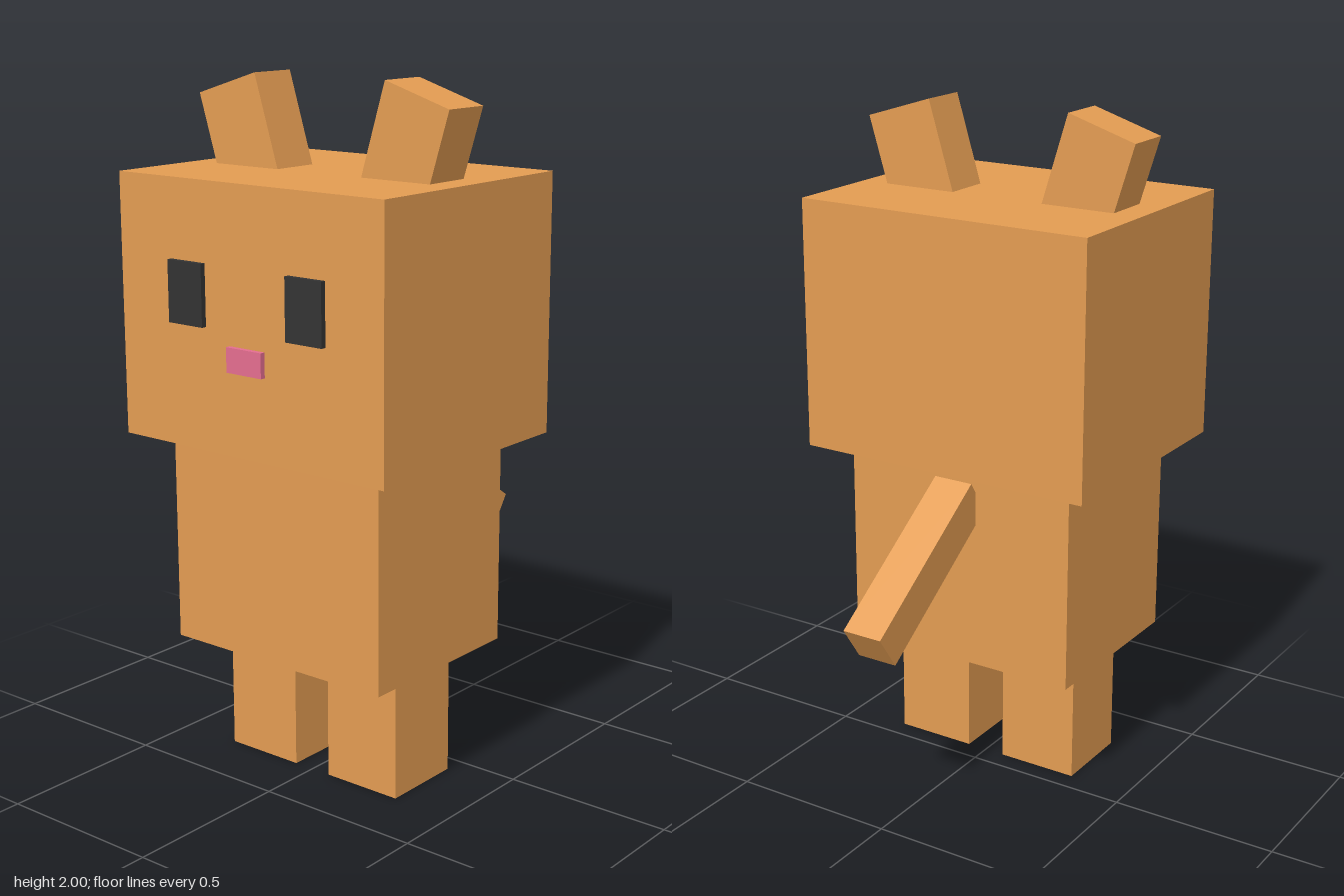
import * as THREE from 'three';

function material(name, color) {
  const m = new THREE.MeshStandardMaterial({ color });
  m.name = name;
  return m;
}

export function createModel() {
  const model = new THREE.Group();
  model.name = 'blockCat';

  const fur = material('orangeFur', 0xe39c52);
  const dark = material('darkEyes', 0x333333);
  const pink = material('pinkNose', 0xe46d90);

  function box(name, mat, size, position) {
    const mesh = new THREE.Mesh(new THREE.BoxGeometry(...size), mat);
    mesh.name = name;
    mesh.position.set(...position);
    model.add(mesh);
    return mesh;
  }

  const midZ = 0.186; // centre line of head, body and legs
  const faceZ = 0.558; // front of the head

  // Head and body
  box('head', fur, [0.93, 0.744, 0.744], [0, 1.368, midZ]);
  box('body', fur, [0.744, 0.62, 0.558], [0, 0.686, midZ]);

  // Legs, ears and eyes, mirrored left and right
  for (const [side, s] of [['left', 1], ['right', -1]]) {
    box(side + 'Leg', fur, [0.248, 0.376, 0.248], [s * 0.186, 0.188, midZ]);
    const ear = box(side + 'Ear', fur, [0.22, 0.31, 0.148], [s * 0.289, 1.82, midZ]);
    ear.rotation.z = -s * 0.3;
    box(side + 'Eye', dark, [0.124, 0.174, 0.031], [s * 0.211, 1.43, faceZ]);
  }

  // Nose
  box('nose', pink, [0.124, 0.07, 0.031], [0, 1.267, faceZ]);

  // Tail sloping down behind the body
  const tail = box('tail', fur, [0.124, 0.124, 0.555], [0, 0.749, -0.31]);
  tail.rotation.x = -0.6;

  return model;
}
